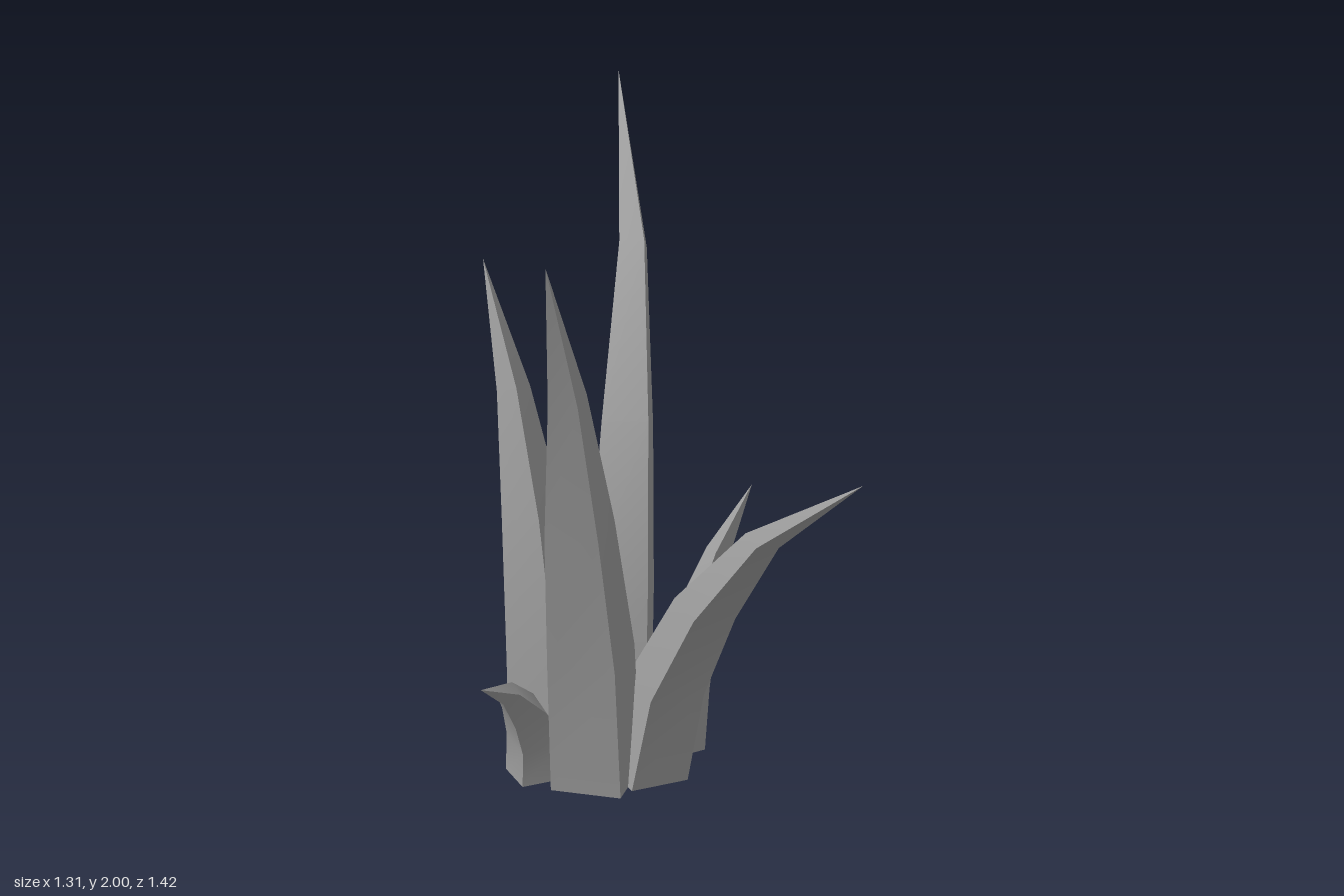
import * as THREE from 'three';
import { toCreasedNormals } from 'three/addons/utils/BufferGeometryUtils.js';

// Half-diagonal of the square section at each level, relative to the base
const TAPER = [1, 0.95, 0.74, 0.4];

// spine: centre of each section, ending in the tip; r: base half-diagonal,
// turn: section angle in degrees, tilt: lean of the sections towards the tip
const BLADES = [
  { name: 'tallBackBlade', r: 0.138, turn: 35, tilt: 0.7,
    spine: [[-0.2, 0, 0.09], [-0.2, 0.505, 0.03], [-0.225, 1.0, -0.14], [-0.272, 1.51, -0.375], [-0.415, 2, -0.71]] },
  { name: 'tallFrontBlade', r: 0.155, turn: 45, tilt: 0.25,
    spine: [[-0.2, 0, 0.31], [-0.2, 0.42, 0.345], [-0.2, 0.85, 0.44], [-0.2, 1.27, 0.537], [-0.2, 1.69, 0.71]] },
  { name: 'tallRightBlade', r: 0.13, turn: 60, tilt: 0.4,
    spine: [[-0.385, 0, 0.19], [-0.4, 0.38, 0.174], [-0.45, 0.765, 0.125], [-0.53, 1.14, 0.047], [-0.66, 1.51, -0.07]] },
  { name: 'wideLeftBlade', r: 0.131, turn: 5, tilt: 0.45,
    spine: [[-0.06, 0, 0.232], [-0.008, 0.29, 0.212], [0.135, 0.585, 0.29], [0.335, 0.86, 0.415], [0.65, 1.1, 0.56]] },
  { name: 'backLeftBlade', r: 0.097, turn: -2, tilt: 0.4,
    spine: [[-0.03, 0, 0.024], [-0.015, 0.21, 0.006], [0.025, 0.42, -0.022], [0.083, 0.63, -0.073], [0.17, 0.83, -0.15]] },
  { name: 'backRightBlade', r: 0.097, turn: -18, tilt: 0.8,
    spine: [[-0.3, 0, 0.04], [-0.315, 0.21, 0.015], [-0.345, 0.41, -0.065], [-0.4, 0.61, -0.275], [-0.51, 0.74, -0.51]] },
  { name: 'shortFrontBlade', r: 0.1, turn: 5, tilt: 0.8,
    spine: [[-0.39, 0, 0.322], [-0.39, 0.12, 0.32], [-0.4, 0.235, 0.385], [-0.415, 0.335, 0.49], [-0.44, 0.41, 0.65]] },
];

// Four-sided blade, open at the base: square sections along the spine, drawn to a point
function bladeGeometry({ spine, r, turn, tilt }) {
  const levels = TAPER.length;
  const points = spine.map((p) => new THREE.Vector3(...p));
  const tip = points[levels];
  const lean = tip.clone().sub(points[0]).setY(0);
  const hinge = new THREE.Vector3(0, 1, 0).cross(lean).normalize();
  const pos = [], index = [];

  TAPER.forEach((taper, i) => {
    for (let j = 0; j < 4; j++) {
      const a = THREE.MathUtils.degToRad(turn + 90 * j);
      const p = new THREE.Vector3(Math.cos(a), 0, Math.sin(a)).multiplyScalar(r * taper);
      p.applyAxisAngle(hinge, tilt * i / levels).add(points[i]);
      pos.push(p.x, p.y, p.z);
    }
  });
  pos.push(tip.x, tip.y, tip.z);

  const tipIndex = levels * 4;
  for (let i = 0; i < levels; i++) {
    for (let j = 0; j < 4; j++) {
      const a = i * 4 + j, b = i * 4 + (j + 1) % 4;
      if (i === levels - 1) index.push(a, tipIndex, b);
      else index.push(a, a + 4, b, b, a + 4, b + 4);
    }
  }

  const geometry = new THREE.BufferGeometry();
  geometry.setAttribute('position', new THREE.Float32BufferAttribute(pos, 3));
  geometry.setIndex(index);
  // Smooth along the blade, sharp along its four edges
  return toCreasedNormals(geometry, 1);
}

export function createModel() {
  const group = new THREE.Group();
  group.name = 'grassTuft';
  const material = new THREE.MeshStandardMaterial({ color: 0x9b9b9b, side: THREE.DoubleSide });
  for (const blade of BLADES) {
    const mesh = new THREE.Mesh(bladeGeometry(blade), material);
    mesh.name = blade.name;
    group.add(mesh);
  }
  return group;
}
